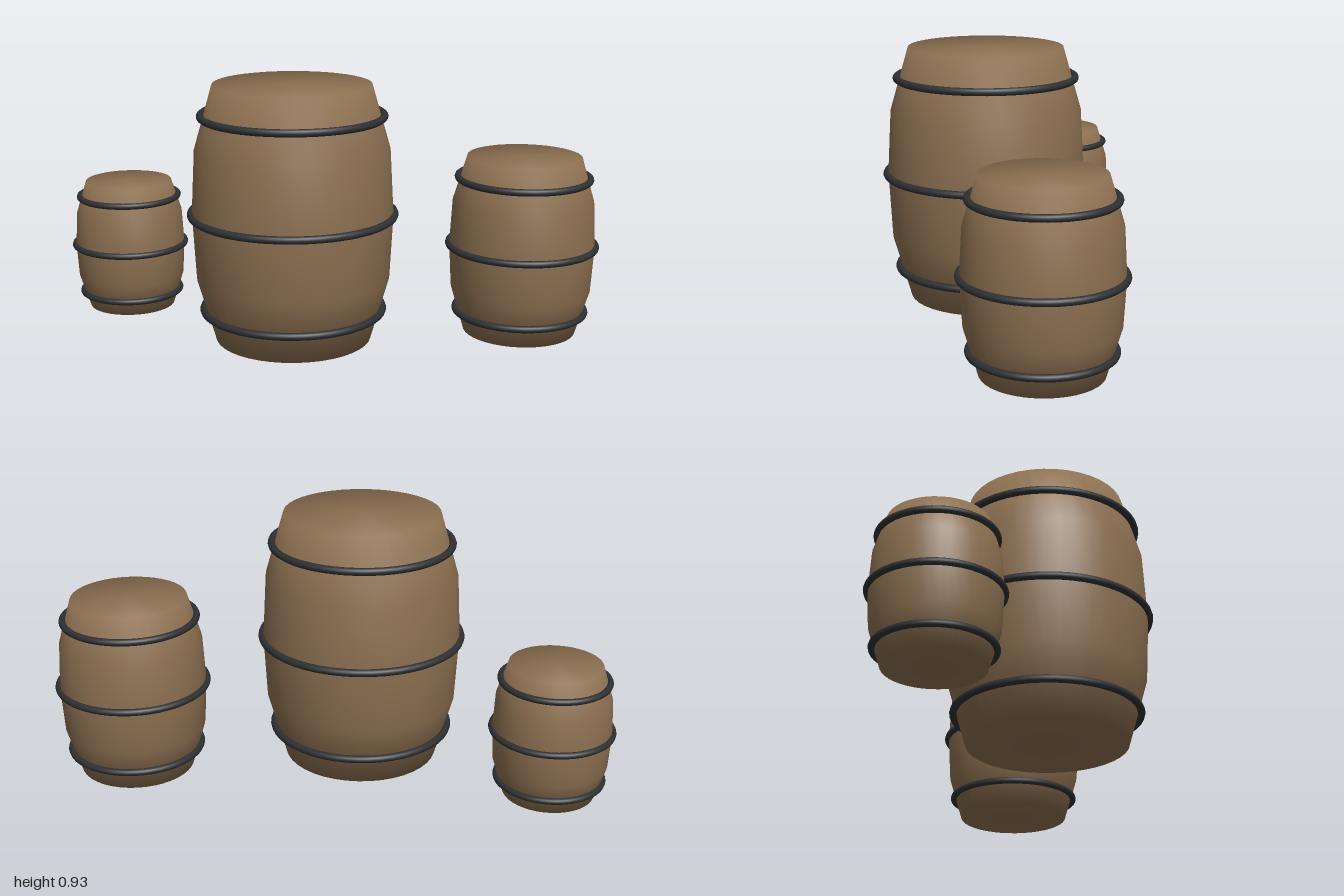
import * as THREE from 'three';

const wood = new THREE.MeshStandardMaterial({ name: 'wood', color: 0x8b6f50 });
const iron = new THREE.MeshStandardMaterial({ name: 'iron', color: 0x2e3033 });

// One barrel: smooth bulging body with closed ends, and three hoops
function createBarrel(name, radius, height, tube) {
  const barrel = new THREE.Group();
  barrel.name = name;

  // [radius factor, height factor]; starts and ends on the axis to close the ends
  const profile = [[0, 0], [0.78, 0], [0.965, 0.25], [1, 0.5], [0.965, 0.75], [0.78, 1], [0, 1]]
    .map(([r, y]) => new THREE.Vector2(r * radius, y * height));
  const body = new THREE.Mesh(new THREE.LatheGeometry(profile, 40), wood);
  body.name = 'barrelBody';
  barrel.add(body);

  // Hoops: lower, middle, upper
  for (const [hoopName, r, y] of [['lowerHoop', 0.9, 0.12], ['middleHoop', 1.012, 0.5], ['upperHoop', 0.9, 0.88]]) {
    const hoop = new THREE.Mesh(new THREE.TorusGeometry(r * radius, tube, 10, 48), iron);
    hoop.name = hoopName;
    hoop.rotation.x = Math.PI / 2;
    hoop.position.y = y * height;
    barrel.add(hoop);
  }
  return barrel;
}

export function createModel() {
  const model = new THREE.Group();
  model.name = 'barrels';
  const barrels = [
    // name, radius, height, hoop thickness, x, z
    ['largeBarrel', 0.36, 0.93, 0.0135, -0.1, 0.077],
    ['mediumBarrel', 0.263, 0.655, 0.0125, 0.72, -0.088],
    ['smallBarrel', 0.208, 0.493, 0.0115, -0.778, -0.235],
  ];
  for (const [name, radius, height, tube, x, z] of barrels) {
    const barrel = createBarrel(name, radius, height, tube);
    barrel.position.set(x, 0, z);
    model.add(barrel);
  }
  return model;
}
